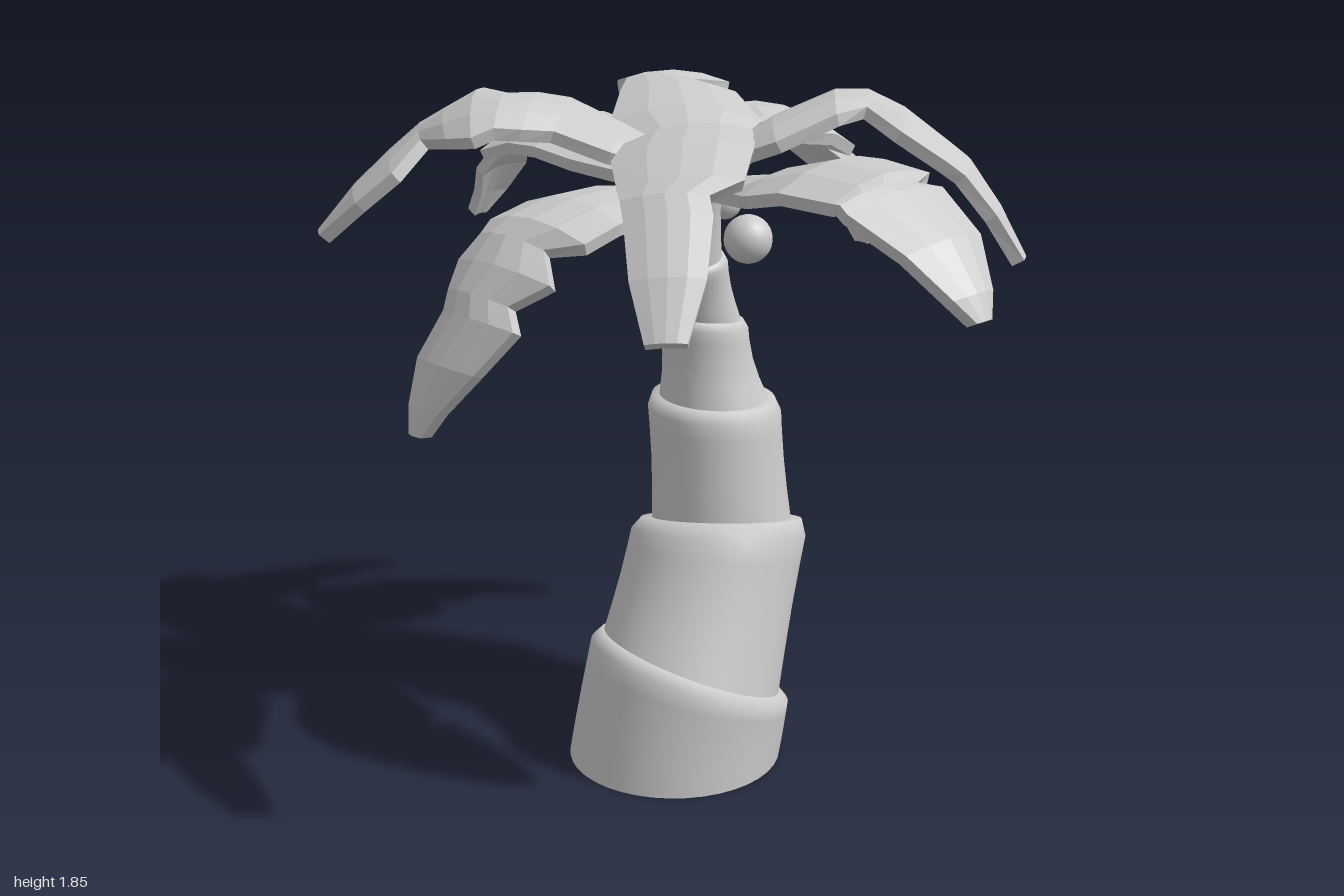
import * as THREE from 'three';

const BARK = new THREE.MeshStandardMaterial({ color: 0xcccccc, side: THREE.DoubleSide });
const LEAF = new THREE.MeshStandardMaterial({ color: 0xcccccc, flatShading: true });
const NUT = new THREE.MeshStandardMaterial({ color: 0xcccccc });

// Skin equal-length loops of points into a surface, with optional end caps
function skin(loops, capped) {
  const n = loops[0].length;
  const pos = loops.flat().flatMap((p) => [p.x, p.y, p.z]);
  const idx = [];
  for (let i = 0; i < loops.length - 1; i++) {
    for (let j = 0; j < n; j++) {
      const a = i * n + j, b = i * n + (j + 1) % n;
      idx.push(a, b, a + n, b, b + n, a + n);
    }
  }
  const last = (loops.length - 1) * n;
  for (let j = 1; capped && j < n - 1; j++) {
    idx.push(0, j + 1, j, last, last + j, last + j + 1);
  }
  const g = new THREE.BufferGeometry();
  g.setAttribute('position', new THREE.Float32BufferAttribute(pos, 3));
  g.setIndex(idx);
  return g;
}

// Circle around a centre, facing along a tilted axis
function ring(center, axis, radius, sides = 40) {
  const q = new THREE.Quaternion().setFromUnitVectors(new THREE.Vector3(0, 1, 0), axis.clone().normalize());
  return Array.from({ length: sides }, (_, j) => {
    const a = -j / sides * Math.PI * 2;
    return new THREE.Vector3(Math.cos(a) * radius, 0, Math.sin(a) * radius).applyQuaternion(q).add(center);
  });
}

// Trunk joints: centre x, y, z / axis tilt x, z / rim radius below / start radius of the section above
const JOINTS = [
  [0.015, 0, 0.092, 0, 0, 0, 0.295],
  [0.03, 0.265, 0.04, 0.1, -0.42, 0.29, 0.26],
  [-0.02, 0.635, -0.12, -0.2, -0.2, 0.245, 0.195],
  [-0.05, 0.99, -0.117, 0.03, -0.04, 0.185, 0.15],
  [-0.065, 1.22, -0.085, 0, -0.12, 0.125, 0.108],
  [-0.03, 1.4, -0.02, 0.1, 0.2, 0.092, 0.078],
  [0.02, 1.64, 0.0, 0.1, 0.1, 0.065, 0],
];

function trunkSection(k) {
  const [A, B] = [JOINTS[k], JOINTS[k + 1]];
  const c0 = new THREE.Vector3(A[0], A[1], A[2]), c1 = new THREE.Vector3(B[0], B[1], B[2]);
  const n0 = new THREE.Vector3(A[3], 1, A[4]), n1 = new THREE.Vector3(B[3], 1, B[4]);
  // position along the section, share of rim radius
  const profile = [[0, 0], [0.25, 0.6], [0.5, 1], [0.75, 1.08], [0.9, 1]];
  const loops = profile.map(([t, w]) =>
    ring(c0.clone().lerp(c1, t), n0.clone().lerp(n1, t), THREE.MathUtils.lerp(A[6], B[5], w)));
  loops.push(ring(c1, n1, B[5] * 0.92), ring(c1, n1, B[5] * 0.7));
  const g = skin(loops, false);
  g.computeVertexNormals();
  return g;
}

// One leaf: a sideways roll and rows of [reach, height, width to one side, width to the other]
function frondGeometry(angle, roll, rows) {
  const a = THREE.MathUtils.degToRad(angle);
  const d = new THREE.Vector3(Math.cos(a), 0, Math.sin(a));
  const s = new THREE.Vector3(-Math.sin(a), 0, Math.cos(a));
  const across = [-1, -0.5, 0, 0.5, 1];
  const loops = rows.map(([r, y, left, right], i) => {
    const p = rows[Math.max(i - 1, 0)], q = rows[Math.min(i + 1, rows.length - 1)];
    const len = Math.hypot(q[0] - p[0], q[1] - p[1]);
    const normal = d.clone().multiplyScalar(-(q[1] - p[1]) / len);
    normal.y = (q[0] - p[0]) / len;
    const half = (left + right) / 2, mid = (right - left) / 2;
    const at = (u, depth) => d.clone().multiplyScalar(r).setY(y)
      .addScaledVector(s, mid + u * half)
      .addScaledVector(normal, roll * (mid + u * half) - depth - 0.2 * half * u * u);
    return [
      ...across.map((u) => at(u, 0)),
      ...across.slice().reverse().map((u) => at(u * 0.96, 0.036)),
    ];
  });
  const g = skin(loops, true).toNonIndexed();
  g.computeVertexNormals();
  return g;
}

const FRONDS = {
  leftFrond: [0, -0.08, [[0, 1.62, .03, .03], [.27, 1.67, .1, .12], [.34, 1.7, .17, .17], [.5, 1.745, .18, .2],
    [.68, 1.74, .15, .19], [.71, 1.725, .08, .18], [.74, 1.71, .14, .18], [.88, 1.615, .12, .13],
    [.97, 1.5, .06, .07], [1, 1.44, .02, .03]]],
  backLeftFrond: [-43, 0, [[0, 1.66, .03, .03], [.2, 1.78, .2, .15], [.36, 1.845, .23, .1], [.45, 1.84, .23, .01],
    [.55, 1.8, .22, .11], [.67, 1.71, .19, .08], [.72, 1.67, .19, .07], [.8, 1.56, .11, .07],
    [.87, 1.43, .04, .04]]],
  frontLeftFrond: [45, -0.12, [[0, 1.66, .03, .04], [.22, 1.77, .16, .08], [.3, 1.81, .07, .08],
    [.35, 1.83, .155, .16], [.52, 1.82, .16, .18], [.63, 1.76, .14, .16], [.67, 1.73, .06, .15],
    [.71, 1.69, .07, .14], [.83, 1.57, .06, .12], [.92, 1.44, .02, .08]]],
  frontFrond: [90, 0, [[0, 1.61, .04, .04], [.17, 1.625, .1, .1], [.25, 1.63, .13, .18], [.42, 1.63, .18, .18],
    [.55, 1.6, .19, .18], [.6, 1.56, .09, .16], [.66, 1.5, .17, .19], [.71, 1.43, .08, .16],
    [.74, 1.38, .13, .15], [.8, 1.26, .05, .18], [.83, 1.14, -.05, .17], [.84, 1.07, -.1, .15]]],
  backFrond: [-100, -0.12, [[0, 1.64, .03, .03], [.3, 1.72, .11, .06], [.36, 1.73, .12, .05], [.4, 1.735, .26, .08],
    [.5, 1.73, .26, .12], [.62, 1.67, .22, .11], [.65, 1.65, .21, .01], [.7, 1.605, .18, .06],
    [.77, 1.53, .13, .01], [.84, 1.39, .08, .03], [.86, 1.3, .03, .02]]],
  backRightFrond: [-132, 0, [[0, 1.66, .04, .04], [.22, 1.77, .25, .16], [.36, 1.82, .24, .08],
    [.44, 1.83, .23, -.05], [.54, 1.82, .27, .05], [.63, 1.79, .28, .04], [.67, 1.765, .24, -.04],
    [.7, 1.73, .22, .035], [.77, 1.66, .14, .04], [.84, 1.57, .15, .05], [.89, 1.48, .04, .03]]],
  frontRightFrond: [136, 0.18, [[0, 1.66, .04, .03], [.19, 1.75, .12, .1], [.34, 1.805, .11, .15],
    [.42, 1.83, .16, .12], [.5, 1.84, .18, .08], [.58, 1.83, .2, .18], [.66, 1.785, .13, .14],
    [.73, 1.735, .02, .13], [.81, 1.67, .08, .145], [.91, 1.58, .07, .11], [1.01, 1.46, 0, .06]]],
  rightFrond: [180, 0.12, [[0, 1.61, .03, .03], [.36, 1.67, .12, .1], [.5, 1.7, .135, .19], [.64, 1.695, .13, .235],
    [.8, 1.635, .11, .17], [.85, 1.59, .04, .1], [.9, 1.54, .05, .13], [.96, 1.45, .01, .1],
    [1, 1.38, 0, .05]]],
};

export function createModel() {
  const tree = new THREE.Group();
  tree.name = 'palmTree';
  const add = (parent, name, geometry, material) => {
    const mesh = new THREE.Mesh(geometry, material);
    mesh.name = name;
    parent.add(mesh);
    return mesh;
  };

  // Leaning trunk of stacked, tilted sections, hollow at the foot
  const trunk = new THREE.Group();
  trunk.name = 'trunk';
  for (let k = 0; k < JOINTS.length - 1; k++) add(trunk, `trunkSection${k + 1}`, trunkSection(k), BARK);

  // Crown of notched leaves
  const crown = new THREE.Group();
  crown.name = 'crown';
  for (const [name, spec] of Object.entries(FRONDS)) add(crown, name, frondGeometry(...spec), LEAF);

  // Coconuts under the crown
  const nuts = new THREE.Group();
  nuts.name = 'coconuts';
  [[0.13, 1.47, -0.07, 0.065], [-0.1, 1.46, 0, 0.06], [0.03, 1.55, -0.08, 0.045]].forEach(([x, y, z, r], i) => {
    add(nuts, `coconut${i + 1}`, new THREE.SphereGeometry(r, 20, 14), NUT).position.set(x, y, z);
  });

  tree.add(trunk, crown, nuts);
  return tree;
}
